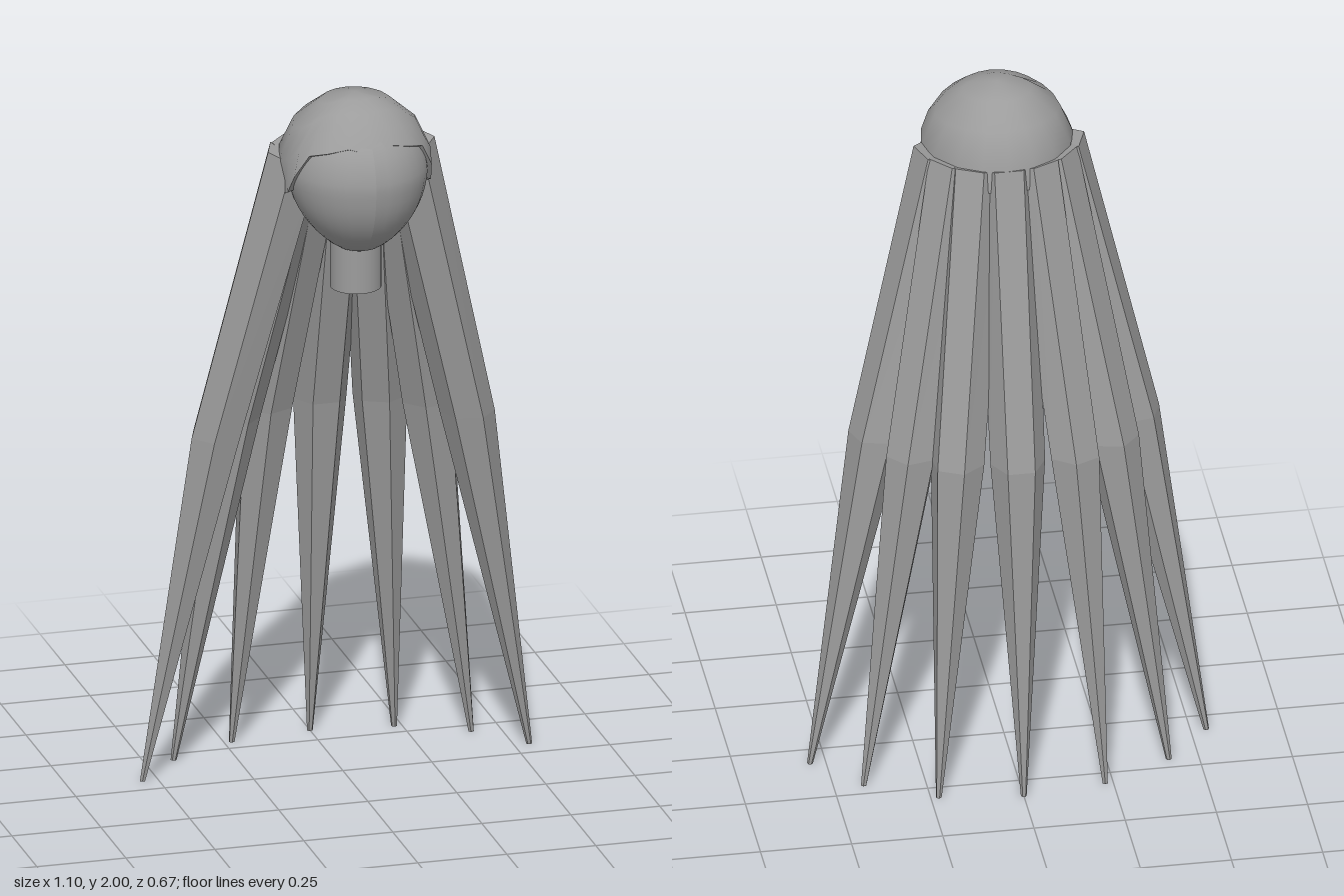
import * as THREE from 'three';
import { mergeVertices } from 'three/addons/utils/BufferGeometryUtils.js';

const grey = new THREE.MeshStandardMaterial({ color: 0x9c9c9c });
const greyThin = new THREE.MeshStandardMaterial({ color: 0x9c9c9c, side: THREE.DoubleSide });

// Skin a list of equal-length rings of Vector3
function loft(rings, closed, flat) {
  const n = rings[0].length, pos = [], idx = [];
  rings.forEach(r => r.forEach(p => pos.push(p.x, p.y, p.z)));
  for (let i = 0; i < rings.length - 1; i++) {
    for (let j = 0; j < (closed ? n : n - 1); j++) {
      const k = (j + 1) % n, a = i * n + j, b = i * n + k, c = a + n, d = b + n;
      idx.push(a, c, b, b, c, d);
    }
  }
  let g = new THREE.BufferGeometry();
  g.setAttribute('position', new THREE.Float32BufferAttribute(pos, 3));
  g.setIndex(idx);
  g = flat ? g.toNonIndexed() : mergeVertices(g, 1e-5);
  g.computeVertexNormals();
  return g;
}

// Tapered hexagonal strand, with a flat face pointing outward
function makeStrand(top, mid, tip, outAngle) {
  const centres = [top, mid, tip];
  const slope = Math.hypot(mid.x - top.x, mid.z - top.z) / (top.y - mid.y);
  const rings = [0.08, 0.075, 0.008].map((r, i) => {
    const ring = [];
    for (let k = 0; k < 6; k++) {
      const a = Math.PI / 6 + k * Math.PI / 3;
      const out = r * Math.cos(a), side = r * Math.sin(a);
      const co = Math.cos(outAngle), si = Math.sin(outAngle);
      ring.push(new THREE.Vector3(
        centres[i].x + out * co + side * si,
        centres[i].y + (i === 0 ? out * slope : 0),
        centres[i].z - out * si + side * co));
    }
    return ring.reverse();
  });
  const cap = (c, n) => Array.from({ length: n }, () => c.clone());
  rings.unshift(cap(top, 6));
  rings.push(cap(tip, 6));
  return loft(rings.map(r => r.reverse()).map(r => r.reverse()), true, true);
}

// Ensure outward winding of a closed solid by its signed volume
function faceOutward(g) {
  const p = g.attributes.position, a = new THREE.Vector3(), b = new THREE.Vector3(), c = new THREE.Vector3();
  let volume = 0;
  for (let i = 0; i < p.count; i += 3) {
    a.fromBufferAttribute(p, i); b.fromBufferAttribute(p, i + 1); c.fromBufferAttribute(p, i + 2);
    volume += a.dot(b.clone().cross(c));
  }
  if (volume < 0) {
    for (let i = 0; i < p.count; i += 3) {
      b.fromBufferAttribute(p, i + 1); c.fromBufferAttribute(p, i + 2);
      p.setXYZ(i + 1, c.x, c.y, c.z); p.setXYZ(i + 2, b.x, b.y, b.z);
    }
    g.computeVertexNormals();
  }
  return g;
}

export function createModel() {
  const model = new THREE.Group();
  const add = (name, geometry, material = grey) => {
    const m = new THREE.Mesh(geometry, material);
    m.name = name;
    model.add(m);
    return m;
  };

  // Head: egg-shaped, tapering to the chin
  const profile = [[0, 1.565], [0.045, 1.57], [0.095, 1.602], [0.14, 1.65], [0.172, 1.705], [0.19, 1.765],
    [0.19, 1.81], [0.173, 1.865], [0.135, 1.915], [0.075, 1.95], [0, 1.96]];
  const curve = new THREE.SplineCurve(profile.map(p => new THREE.Vector2(...p)));
  const points = curve.getPoints(24);
  points.forEach(p => { p.x = Math.max(0, p.x); });
  const head = new THREE.LatheGeometry(points, 32);
  const hp = head.attributes.position;
  for (let i = 0; i < hp.count; i++) {
    const chin = Math.max(0, (1.77 - hp.getY(i)) / 0.2);
    hp.setZ(i, hp.getZ(i) * 1.03 + 0.138 + 0.022 * chin);
  }
  head.computeVertexNormals();
  add('head', head);

  // Neck
  add('neck', new THREE.CylinderGeometry(0.07, 0.07, 0.2, 24)).position.set(0, 1.545, 0.13);

  // Hair cap: dome whose lower edge follows the hairline [azimuth from front, height]
  const half = [[0, 1.88], [20, 1.897], [38, 1.882], [54, 1.868], [66, 1.80], [76, 1.745], [92, 1.72],
    [115, 1.74], [140, 1.76], [160, 1.77], [180, 1.77]];
  const hairline = [...half, ...half.slice(1, -1).reverse().map(([a, y]) => [360 - a, y])];
  const R = 0.212, cy = 1.788, cz = 0.115;
  const domePoint = (azimuth, theta, r) => {
    const a = THREE.MathUtils.degToRad(azimuth), s = Math.sin(theta) * r;
    return new THREE.Vector3(Math.sin(a) * s, cy + Math.cos(theta) * r, cz + Math.cos(a) * s);
  };
  const edge = y => Math.acos((y - cy) / R);
  const steps = 4, rings = [];
  for (let i = 0; i <= steps; i++) {
    rings.push(hairline.map(([a, y]) => domePoint(a, edge(y) * i / steps, R)));
  }
  add('hairCap', loft(rings, true, false), greyThin);
  const inner = hairline.map(([a, y]) => domePoint(a, edge(y), R - 0.03));
  add('hairCapRim', loft([rings[steps], inner], true, true), greyThin);

  // Long strands fanned round the back: top, middle and tip [x, z], outward angle
  const strands = [
    [[0, -0.02], [0, -0.23], [0, -0.33], 90],
    [[0.075, -0.005], [0.16, -0.20], [0.228, -0.30], 65],
    [[0.125, 0.028], [0.273, -0.13], [0.418, -0.205], 42],
    [[0.155, 0.07], [0.352, -0.01], [0.543, -0.07], 20],
  ];
  strands.forEach(([t, m, e, deg], i) => {
    for (const s of i === 0 ? [1] : [1, -1]) {
      const at = ([x, z], y) => new THREE.Vector3(x * s, y, z);
      const angle = THREE.MathUtils.degToRad(s > 0 ? deg : 180 - deg);
      const g = faceOutward(makeStrand(at(t, 1.817), at(m, 1.0), at(e, 0), angle));
      add(i === 0 ? 'centreStrand' : `${s > 0 ? 'left' : 'right'}Strand${i}`, g);
    }
  });
  return model;
}
